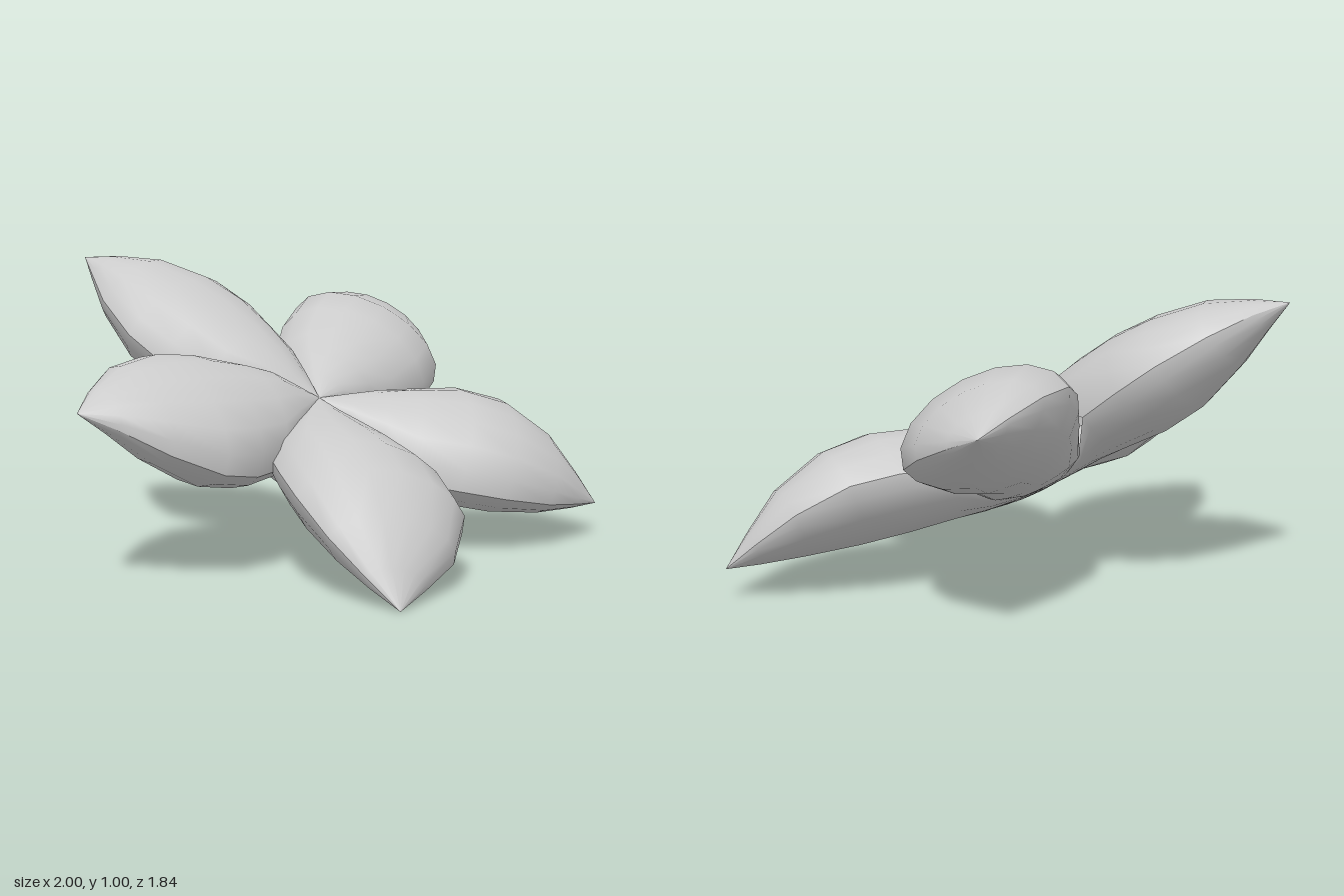
import * as THREE from 'three';

// Flower centre and the axis the tilted blossom faces along
const CENTRE = new THREE.Vector3(-0.036, 0.48, -0.064);
const NORMAL = new THREE.Vector3(0.248, 0.86, 0.447).normalize();
const COLUMNS = 8;

// Petal stations: [fraction of length, half width, top crest, top rim, bottom rim, bottom crest].
// Up to 0.3 the rims lie on the seams shared with the neighbouring petals.
const STATIONS = [
  [0, 0, 0.06, 0.06, -0.192, -0.192],
  [0.1, 0.084, 0.095, 0.05, -0.185, -0.19],
  [0.2, 0.166, 0.135, 0.02, -0.15, -0.182],
  [0.3, 0.242, 0.168, -0.03, -0.03, -0.172],
  [0.45, 0.289, 0.205, 0.01, 0.01, -0.16],
  [0.6, 0.293, 0.206, 0.035, 0.035, -0.135],
  [0.77, 0.217, 0.158, 0.035, 0.035, -0.085],
  [0.9, 0.103, 0.075, 0.02, 0.02, -0.038],
  [1, 0, 0, 0, 0, 0],
];

// Petals: tip position, width factor, and how far the middle bows
// along the flower axis (bow) and sideways (sway)
const PETALS = [
  { name: 'frontPetal', tip: [-0.17, 0, 0.92], width: 1.06, bow: 0.02, sway: 0.04 },
  { name: 'leftPetal', tip: [1, 0.11, 0.12], width: 1, bow: 0.025, sway: -0.01 },
  { name: 'backLeftPetal', tip: [0.63, 0.705, -0.92], width: 1, bow: 0.01, sway: -0.02 },
  { name: 'backRightPetal', tip: [-0.635, 0.99, -0.75], width: 1, bow: -0.045, sway: -0.008 },
  { name: 'rightPetal', tip: [-1, 0.58, 0.31], width: 1, bow: -0.06, sway: 0.012 },
];

// One face of a petal: side 0 is the upper sheet, side 1 the lower sheet
function sheetGeometry({ tip, width, bow, sway }, side) {
  const axis = new THREE.Vector3(...tip).sub(CENTRE);
  const lateral = new THREE.Vector3().crossVectors(NORMAL, axis).normalize();
  const positions = [];
  const index = [];
  STATIONS.forEach(([t, halfWidth, top, topRim, bottomRim, bottom], i) => {
    // The bend starts beyond the fused base
    const bend = Math.sin(Math.PI * Math.max((t - 0.15) / 0.85, 0)) ** 1.5 || 0;
    const rim = side === 0 ? topRim : bottomRim;
    const crest = side === 0 ? top : bottom;
    for (let j = 0; j <= COLUMNS; j++) {
      const angle = Math.PI * (side + j / COLUMNS);
      const rise = Math.abs(Math.sin(angle)) ** (side === 0 ? 1 : 1.25);
      const p = CENTRE.clone()
        .addScaledVector(axis, t)
        .addScaledVector(lateral, sway * bend + width * halfWidth * Math.cos(angle))
        .addScaledVector(NORMAL, bow * bend + rim + (crest - rim) * rise);
      positions.push(p.x, p.y, p.z);
      if (i === STATIONS.length - 1 || j === COLUMNS) continue;
      const a = i * (COLUMNS + 1) + j;
      const c = a + COLUMNS + 1;
      index.push(a, a + 1, c + 1, a, c + 1, c);
    }
  });
  const geometry = new THREE.BufferGeometry();
  geometry.setAttribute('position', new THREE.Float32BufferAttribute(positions, 3));
  geometry.setIndex(index);
  geometry.computeVertexNormals();
  return geometry;
}

export function createModel() {
  const flower = new THREE.Group();
  flower.name = 'flower';
  const material = new THREE.MeshStandardMaterial({ color: 0xcccccc, side: THREE.DoubleSide });
  for (const spec of PETALS) {
    const petal = new THREE.Group();
    petal.name = spec.name;
    ['upperSide', 'underside'].forEach((name, side) => {
      const sheet = new THREE.Mesh(sheetGeometry(spec, side), material);
      sheet.name = name;
      petal.add(sheet);
    });
    flower.add(petal);
  }
  return flower;
}
